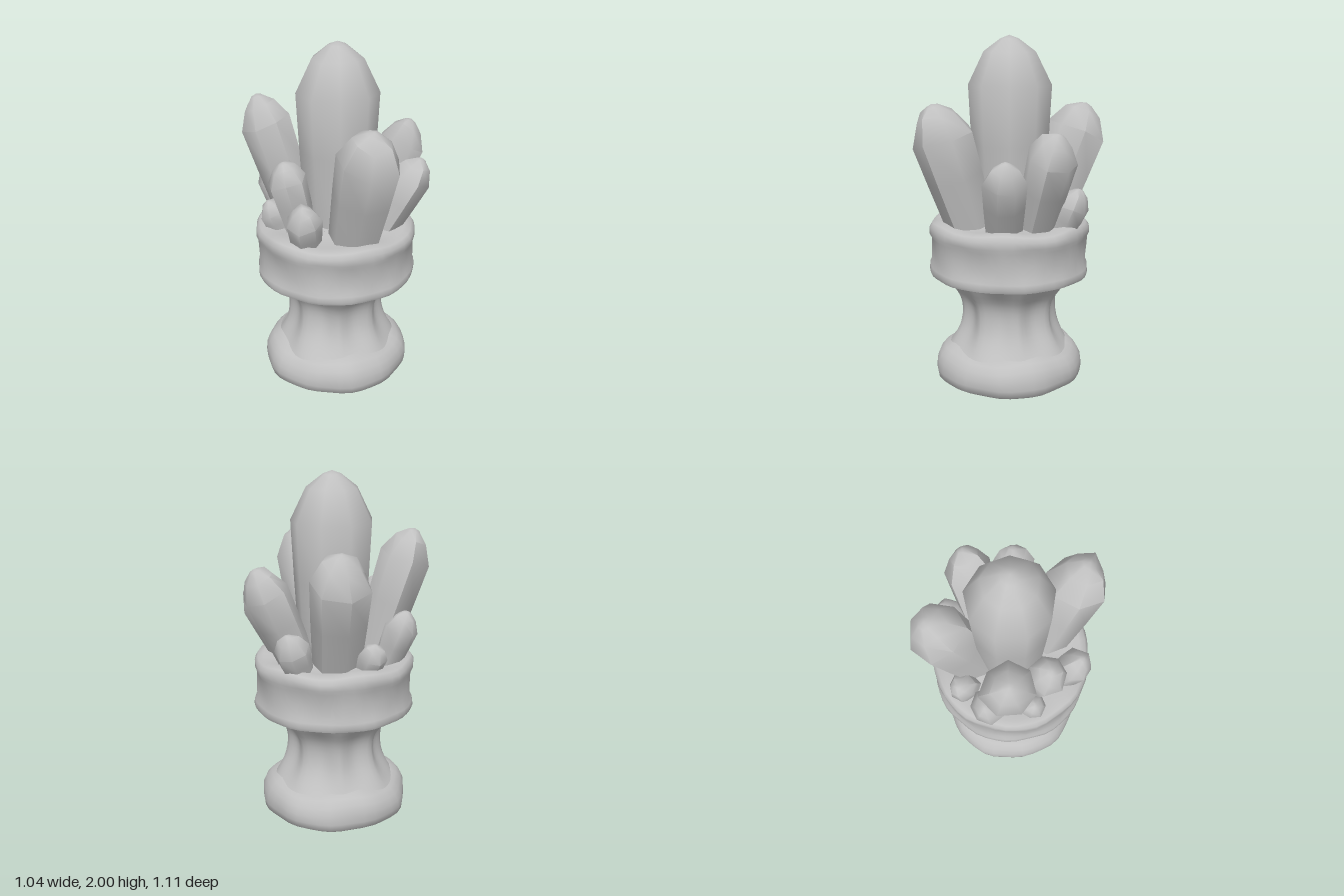
import * as THREE from 'three';
import { toCreasedNormals } from 'three/addons/utils/BufferGeometryUtils.js';

const V2 = (p) => new THREE.Vector2(p[0], p[1]);

// Seeded random in -1..1
function seeded(seed) {
  let s = seed * 7919 + 17;
  return () => {
    s = (s * 16807) % 2147483647;
    return (s / 2147483647) * 2 - 1;
  };
}

// Lathe whose radius and height are altered by a rule, with soft normals and sharp folds
function carvedLathe(points, segments, rule, crease) {
  const geo = new THREE.LatheGeometry(points, segments);
  geo.deleteAttribute('uv');
  const pos = geo.attributes.position;
  for (let i = 0; i < pos.count; i++) {
    const seg = Math.floor(i / points.length) % segments;
    const row = i % points.length;
    const angle = (seg / segments) * Math.PI * 2;
    const [r, y] = rule(points[row].x, points[row].y, angle, seg, row);
    pos.setXYZ(i, r * Math.sin(angle), y, r * Math.cos(angle));
  }
  return toCreasedNormals(geo, crease);
}

// Faceted crystal running from base to tip, with an uneven shoulder
function crystalGeometry(length, radius, sides, seed, shoulder, rough) {
  const rand = seeded(seed);
  const facets = Array.from({ length: sides }, () => [1 + rand() * rough, rand() * rough * radius * 1.6]);
  const profile = [
    [0.8, 0], [0.93, shoulder * 0.6], [1, shoulder],
    [0.62, shoulder + (1 - shoulder) * 0.66], [0.22, shoulder + (1 - shoulder) * 0.93], [0, 1],
  ].map(([r, t]) => new THREE.Vector2(r * radius, t * length));
  return carvedLathe(profile, sides, (r, y, a, seg, row) => {
    const [scale, lift] = facets[seg];
    return [r * scale, row === 2 || row === 3 ? y + lift : y];
  }, 0.95);
}

export function createModel() {
  const model = new THREE.Group();
  model.name = 'crystalPedestal';
  const stone = new THREE.MeshStandardMaterial({ color: 0xc0c0c0 });
  stone.name = 'grey stone';

  const add = (name, geo) => {
    const mesh = new THREE.Mesh(geo, stone);
    mesh.name = name;
    model.add(mesh);
    return mesh;
  };

  // Rounded foot with an uneven edge
  const foot = [
    [0, 0], [0.395, 0], [0.425, 0.02], [0.432, 0.06], [0.428, 0.11], [0.41, 0.15],
    [0.38, 0.185], [0.33, 0.21], [0.2, 0.22],
  ].map(V2);
  add('foot', carvedLathe(foot, 40, (r, y, a) => [
    r * (1 + 0.013 * Math.sin(5 * a + 9 * y) + 0.009 * Math.sin(11 * a)),
    y > 0.1 ? y + 0.01 * Math.sin(4 * a + 1) : y,
  ], 0.9)).position.x = -0.012;

  // Waisted neck with eight ribs
  const neck = new THREE.SplineCurve([
    [0.37, 0.17], [0.325, 0.25], [0.292, 0.33], [0.28, 0.42], [0.295, 0.5], [0.345, 0.58], [0.4, 0.67],
  ].map(V2)).getPoints(14);
  add('neck', carvedLathe(neck, 64, (r, y, a) => {
    const t = THREE.MathUtils.clamp((y - 0.17) / 0.48, 0, 1);
    const groove = Math.pow(0.5 - 0.5 * Math.cos(8 * a), 0.7) * Math.sin(Math.PI * t);
    return [r * (1 - 0.13 * groove + 0.012 * Math.sin(3 * a + 12 * y)), y];
  }, 1)).position.x = -0.012;

  // Thick collar with raised lips, hollow below and a mound on top
  const collar = [
    [0.27, 0.67], [0.4, 0.67], [0.42, 0.642], [0.458, 0.642], [0.465, 0.66], [0.462, 0.69],
    [0.45, 0.715], [0.452, 0.79], [0.452, 0.86], [0.463, 0.885], [0.462, 0.925],
    [0.445, 0.95], [0.41, 0.962], [0.36, 0.95], [0.25, 0.965], [0, 1],
  ].map(V2);
  add('collar', carvedLathe(collar, 48, (r, y, a) => [
    r * (1 + 0.008 * Math.sin(7 * a + 14 * y) + 0.006 * Math.sin(13 * a - 20 * y)),
    y + (y > 0.9 ? 0.008 * Math.sin(6 * a) : 0),
  ], 0.9)).position.x = -0.01;

  // Crystals: name, base, tip, radius
  const crystals = [
    ['frontCrystal', [0.07, 0.9, 0.22], [0.155, 1.64, 0.455], 0.18],
    ['backCrystal', [0, 0.9, -0.19], [0, 1.62, -0.45], 0.165],
    ['rightCrystal', [-0.21, 0.9, -0.06], [-0.45, 1.69, -0.095], 0.15],
    ['leftBackCrystal', [0.19, 0.9, -0.1], [0.44, 1.5, -0.18], 0.138],
    ['leftCrystal', [0.24, 0.9, 0.07], [0.47, 1.36, 0.105], 0.12],
    ['rightFrontCrystal', [-0.2, 0.9, 0.1], [-0.31, 1.38, 0.165], 0.11],
    ['smallFrontCrystal', [-0.19, 0.88, 0.24], [-0.21, 1.2, 0.375], 0.1],
    ['smallLeftBackCrystal', [0.2, 0.88, -0.25], [0.28, 1.17, -0.35], 0.1],
    ['smallRightBackCrystal', [-0.28, 0.9, -0.15], [-0.4, 1.25, -0.22], 0.1],
    ['tinyBackCrystal', [-0.15, 0.88, -0.25], [-0.205, 1.1, -0.35], 0.08],
    ['tinyRightCrystal', [-0.33, 0.9, 0.04], [-0.4, 1.11, 0.06], 0.075],
  ];
  const up = new THREE.Vector3(0, 1, 0);
  crystals.forEach(([name, from, to, radius], i) => {
    const base = new THREE.Vector3(...from);
    const axis = new THREE.Vector3(...to).sub(base);
    const shoulder = 1 - (radius * 1.05) / axis.length();
    const mesh = add(name, crystalGeometry(axis.length(), radius, 7, i + 3, shoulder, 0.08));
    mesh.position.copy(base);
    mesh.quaternion.setFromUnitVectors(up, axis.normalize());
    mesh.rotateY(i * 0.7);
  });

  // Tall central crystal
  const main = add('centralCrystal', crystalGeometry(1.1, 0.238, 9, 1, 0.75, 0.02));
  main.position.y = 0.9;

  return model;
}
